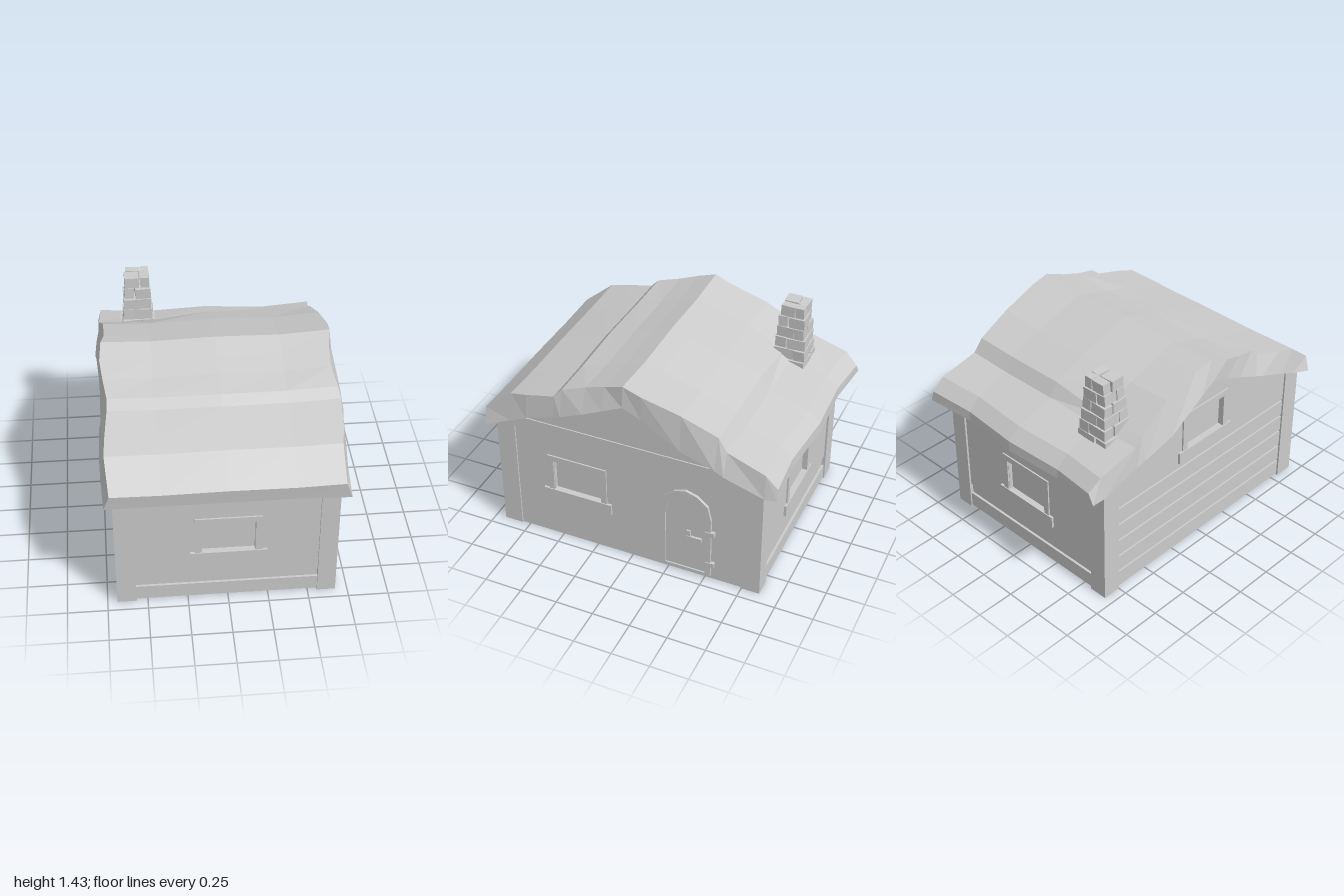
import * as THREE from 'three';

const mat = new THREE.MeshStandardMaterial({ color: 0xcccccc, flatShading: true, side: THREE.DoubleSide });

function add(parent, name, geo) {
  const mesh = new THREE.Mesh(geo, mat);
  mesh.name = name;
  parent.add(mesh);
  return mesh;
}

// Box given by its limits on each axis
function box(parent, name, x0, x1, y0, y1, z0, z1) {
  const mesh = add(parent, name, new THREE.BoxGeometry(x1 - x0, y1 - y0, z1 - z0));
  mesh.position.set((x0 + x1) / 2, (y0 + y1) / 2, (z0 + z1) / 2);
  return mesh;
}

const pts = (list) => list.map(([x, y]) => new THREE.Vector2(x, y));
const rect = (x0, x1, y0, y1) => pts([[x0, y0], [x1, y0], [x1, y1], [x0, y1]]);

// Flat plate with optional holes, its outer face at z1
function plate(parent, name, outline, holes, z0, z1) {
  const shape = new THREE.Shape(outline);
  shape.holes = holes.map((h) => new THREE.Path(h));
  const mesh = add(parent, name, new THREE.ExtrudeGeometry(shape, { depth: z1 - z0, bevelEnabled: false }));
  mesh.position.z = z0;
  return mesh;
}

// Window frame, recessed pane and sill; z = 0 is the wall face
const windowHole = (x, y) => rect(x - 0.165, x + 0.165, y, y + 0.225);
function addWindow(parent, x, y, out = 0.01) {
  const g = new THREE.Group();
  g.name = 'window';
  plate(g, 'windowFrame', rect(x - 0.205, x + 0.205, y, y + 0.265), [windowHole(x, y)], -0.06, out);
  box(g, 'windowPane', x - 0.17, x + 0.17, y, y + 0.23, -0.04, -0.025);
  box(g, 'windowSill', x - 0.237, x + 0.237, y - 0.08, y, -0.09, out + 0.006);
  parent.add(g);
}

// A group whose local +z points out of the wall
function wallGroup(parent, name, angle, distance) {
  const g = new THREE.Group();
  g.name = name;
  g.rotation.y = angle;
  g.position.set(Math.sin(angle) * distance, 0, Math.cos(angle) * distance);
  parent.add(g);
  return g;
}

// Roof profiles as [z, y], front eave to back eave
const roofTop = [[0.99, 0.9], [0.8, 1.055], [0.68, 1.09], [0.48, 1.145], [0.43, 1.2], [0.28, 1.24], [0.15, 1.285],
  [0.02, 1.335], [-0.1, 1.3], [-0.35, 1.225], [-0.58, 1.135], [-0.64, 1.05], [-0.9, 0.975], [-0.98, 0.9]];
const roofUnder = [[0.985, 0.79], [0.65, 0.95], [0.4, 1.04], [0.02, 1.205], [-0.18, 1.12], [-0.35, 1.0],
  [-0.6, 0.93], [-0.82, 0.825], [-1, 0.835]];

function underAt(z) {
  for (let i = 1; i < roofUnder.length; i++) {
    const [za, ya] = roofUnder[i - 1], [zb, yb] = roofUnder[i];
    if (z >= zb) return ya + (yb - ya) * (za - z) / (za - zb);
  }
  return 0.835;
}

// Sagging slab roof, lofted through five stations along x
function roofGeometry() {
  const stations = [-1, -0.55, 0, 0.55, 1];
  const n = roofTop.length;
  const position = [], index = [];
  stations.forEach((s, k) => {
    const end = Math.abs(s) === 1;
    const lift = [0, -0.012, 0, -0.008, 0.012][k];
    const backIn = [-0.012, 0.02, 0, 0.035, 0.01][k];
    roofTop.forEach(([z, y], i) => {
      const wave = 0.018 * Math.sin(i * 1.3 + k);
      const x = end ? s * 0.705 + s * wave : s * 0.73;
      let yy = y + lift * (i > 4 && i < 10 ? 1 : 0.4);
      if (i === 10 && s < 0) yy -= 0.045; // the rear step fades out towards one end
      position.push(x, yy, z + (i > 11 ? backIn : 0) + (i > 2 && i < 5 ? 0.012 * (1 - Math.abs(s)) : 0));
    });
    roofTop.forEach(([z], i) => {
      const zz = i === 0 ? 0.98 : i === n - 1 ? -0.985 + backIn : z;
      const x = end ? s * (0.74 + 0.012 * Math.sin(i * 0.9 + k)) : s * 0.73;
      position.push(x, underAt(zz) + (s < 1 && i === 0 ? 0.012 : 0), zz);
    });
  });
  const top = (k, i) => k * 2 * n + i;
  const low = (k, i) => k * 2 * n + n + i;
  const quad = (a, b, c, d) => index.push(a, b, c, a, c, d);
  const last = stations.length - 1;
  for (let k = 0; k < last; k++) {
    for (let i = 0; i < n - 1; i++) {
      quad(top(k, i), top(k + 1, i), top(k + 1, i + 1), top(k, i + 1));
      quad(low(k, i), low(k, i + 1), low(k + 1, i + 1), low(k + 1, i));
    }
    quad(low(k, 0), low(k + 1, 0), top(k + 1, 0), top(k, 0));
    quad(top(k, n - 1), top(k + 1, n - 1), low(k + 1, n - 1), low(k, n - 1));
  }
  for (let i = 0; i < n - 1; i++) {
    quad(top(0, i), top(0, i + 1), low(0, i + 1), low(0, i));
    quad(top(last, i), low(last, i), low(last, i + 1), top(last, i + 1));
  }
  const geo = new THREE.BufferGeometry();
  geo.setAttribute('position', new THREE.Float32BufferAttribute(position, 3));
  geo.setIndex(index);
  const flat = geo.toNonIndexed();
  flat.computeVertexNormals();
  return flat;
}

// Tapered stack of uneven bricks
function addChimney(parent) {
  const g = new THREE.Group();
  g.name = 'chimney';
  let seed = 7;
  const rnd = () => (seed = (seed * 16807) % 2147483647) / 2147483647 - 0.5;
  const rows = 6, h = 0.075;
  for (let r = 0; r < rows; r++) {
    const w = 0.225 - 0.014 * r;
    const split = (r % 2 ? 0.12 : -0.12) * w;
    for (const sx of [-1, 1]) for (const sz of [-1, 1]) {
      const bx = w / 2 - sx * split, bz = w / 2 + sz * split;
      const b = add(g, 'brick', new THREE.BoxGeometry(bx - 0.004, h - 0.003, bz - 0.004));
      b.position.set(split + sx * bx / 2 + rnd() * 0.01, 0.98 + h * (r + 0.5), -split + sz * bz / 2 + rnd() * 0.01);
      b.rotation.set(rnd() * 0.08, rnd() * 0.12, rnd() * 0.08);
    }
  }
  g.position.set(-0.46, 0, -0.63);
  parent.add(g);
}

// Arched outline for the door, inset by d
function arch(cx, d) {
  const w = 0.17 - d;
  const list = [[cx - w, 0.03], [cx + w, 0.03]];
  for (const [a, y] of [[1, 0.48], [0.87, 0.58], [0.47, 0.64], [0, 0.665], [-0.47, 0.64], [-0.87, 0.58], [-1, 0.48]])
    list.push([cx + w * a, y - d]);
  return pts(list);
}

// Gable wall outline following the underside of the roof; dir maps local x to z
function gable(dir) {
  const list = [[-0.86, 0], [0.92, 0], [0.92, 0.84]];
  for (const [z, y] of roofUnder) if (Math.abs(z) < 0.85) list.push([z, y + 0.015]);
  list.push([-0.86, 0.84]);
  return pts(list.map(([z, y]) => [z * dir, y]));
}

export function createModel() {
  const house = new THREE.Group();
  house.name = 'cottage';

  // Corner posts
  for (const [x0, x1] of [[-0.69, -0.57], [0.56, 0.675]])
    for (const [z0, z1] of [[0.805, 0.93], [-0.87, -0.745]])
      box(house, 'cornerPost', x0, x1, 0, 0.84, z0, z1);

  // Front and back walls: two panels with a recessed strip between
  for (const [name, angle, dist, m] of [['frontWall', 0, 0.917, 1], ['backWall', Math.PI, 0.857, -1]]) {
    const g = wallGroup(house, name, angle, dist);
    const x0 = m > 0 ? -0.575 : -0.565, x1 = x0 + 1.14;
    plate(g, 'wallBacking', rect(x0, x1, 0.01, 0.84), [windowHole(0, 0.37)], -0.045, -0.012);
    plate(g, 'upperPanel', rect(x0, x1, 0.185, 0.765), [windowHole(0, 0.37)], -0.013, 0);
    box(g, 'lowerPanel', x0, x1, 0.01, 0.11, -0.013, 0.004);
    box(g, 'topBeam', x0, x1, 0.77, 0.84, -0.013, 0.004);
    addWindow(g, 0.003 * m, 0.37);
  }

  // Gable wall with window and door
  const right = wallGroup(house, 'doorWall', Math.PI / 2, 0.665);
  plate(right, 'gableWall', gable(-1), [windowHole(-0.375, 0.37)], -0.045, 0);
  box(right, 'gableBeam', -0.88, 0.82, 0.8, 0.88, -0.02, 0.008);
  addWindow(right, -0.378, 0.37);
  const door = new THREE.Group();
  door.name = 'door';
  right.add(door);
  plate(door, 'doorFrame', arch(0.37, 0), [arch(0.37, 0.035).map((p) => p.setY(Math.max(p.y, 0.045)))], -0.02, 0.018);
  plate(door, 'doorLeaf', arch(0.37, 0.03), [], -0.015, 0.008);
  for (const y of [0.11, 0.36]) {
    box(door, 'hinge', 0.505, 0.55, y, y + 0.03, 0, 0.024);
    box(door, 'hingePin', 0.545, 0.565, y - 0.002, y + 0.032, 0, 0.024);
  }
  box(door, 'handlePlate', 0.38, 0.405, 0.29, 0.355, 0, 0.02);
  box(door, 'handleLever', 0.38, 0.48, 0.29, 0.315, 0.008, 0.024);

  // Gable wall with planks and a high window
  const left = wallGroup(house, 'plankWall', -Math.PI / 2, 0.675);
  plate(left, 'gableWall', gable(1), [windowHole(0.02, 0.755)], -0.05, -0.01);
  for (let i = 0; i < 5; i++)
    box(left, 'plank', -0.75, 0.81, 0.01 + i * 0.125, 0.12 + i * 0.125, -0.02, 0.004);
  const upper = gable(1).filter((p) => p.y > 0.1);
  plate(left, 'upperBoarding', [...pts([[-0.75, 0.635], [0.81, 0.635]]), ...upper.map((p) => p.setX(Math.max(-0.75, Math.min(0.81, p.x))))],
    [windowHole(0.02, 0.755)], -0.02, 0.004);
  addWindow(left, 0.02, 0.755, 0.014);

  add(house, 'roof', roofGeometry());
  addChimney(house);
  return house;
}
